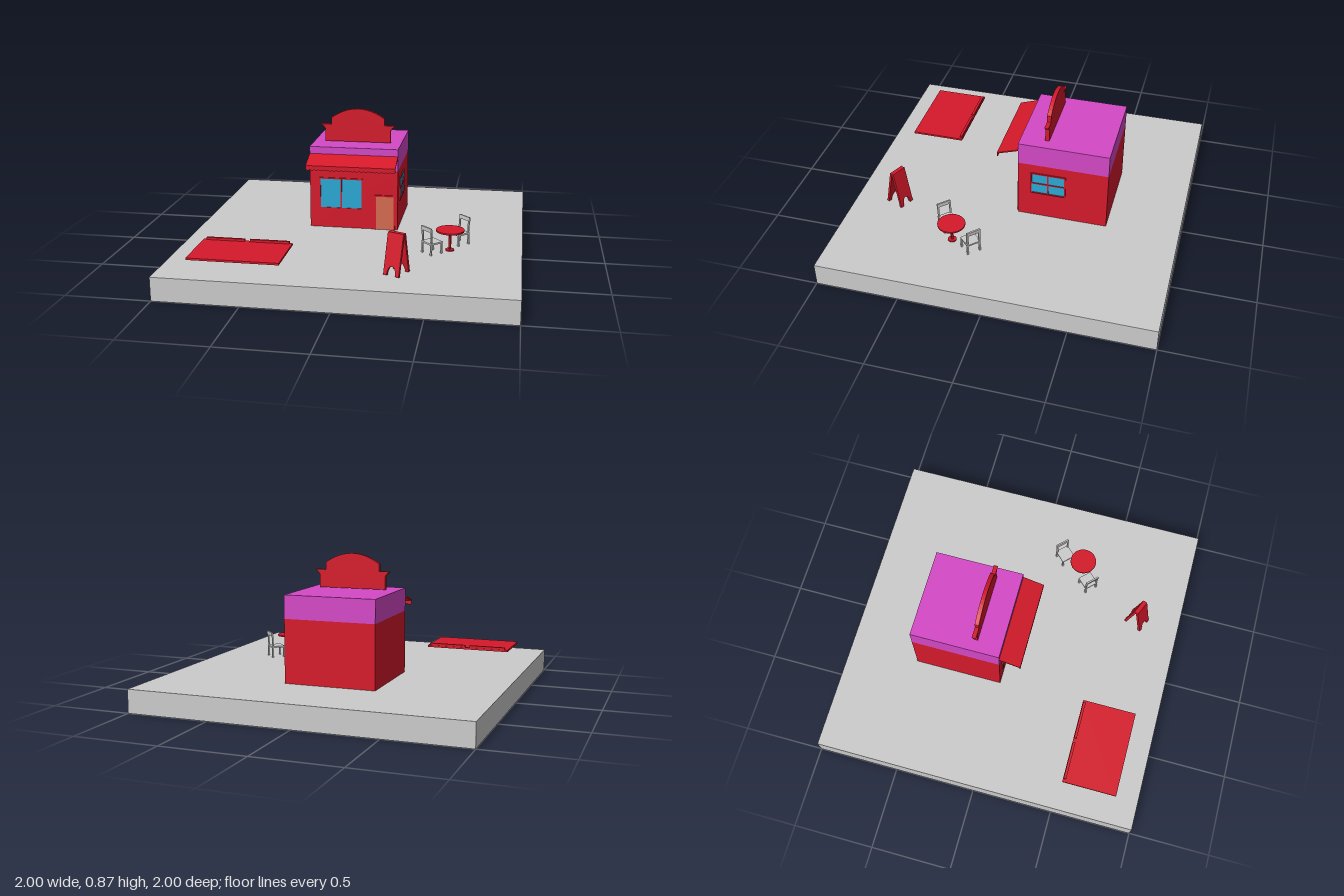
import * as THREE from 'three';

const mat = (color, side = THREE.FrontSide) => new THREE.MeshStandardMaterial({ color, side, flatShading: true });
const grey = mat(0xcccccc), red = mat(0xd5192a), purple = mat(0xd448c6);
const blue = mat(0x2ba9d5), wood = mat(0xd56b4f);

const GROUND = 0.14;

function add(parent, name, geometry, material) {
  const mesh = new THREE.Mesh(geometry, material);
  mesh.name = name;
  parent.add(mesh);
  return mesh;
}

// Box given by its lower and upper limits on each axis
function box(parent, name, material, [x0, x1], [y0, y1], [z0, z1]) {
  const mesh = add(parent, name, new THREE.BoxGeometry(x1 - x0, y1 - y0, z1 - z0), material);
  mesh.position.set((x0 + x1) / 2, (y0 + y1) / 2, (z0 + z1) / 2);
  return mesh;
}

function extrude(shape, depth) {
  return new THREE.ExtrudeGeometry(shape, { depth, bevelEnabled: false, curveSegments: 12 });
}

function group(parent, name, x, y, z, turn = 0) {
  const g = new THREE.Group();
  g.name = name;
  g.position.set(x, y, z);
  g.rotation.y = turn;
  parent.add(g);
  return g;
}

// Window facing local +z: frame with a grid of glass panes
function makeWindow(parent, name, w, h, cols, rows) {
  const g = group(parent, name, 0, 0, 0);
  const bar = 0.008;
  const shape = new THREE.Shape();
  shape.moveTo(-w / 2, -h / 2).lineTo(w / 2, -h / 2).lineTo(w / 2, h / 2).lineTo(-w / 2, h / 2);
  const pw = (w - bar * (cols + 1)) / cols, ph = (h - bar * (rows + 1)) / rows;
  for (let c = 0; c < cols; c++) {
    for (let r = 0; r < rows; r++) {
      const x = -w / 2 + bar + c * (pw + bar), y = -h / 2 + bar + r * (ph + bar);
      const hole = new THREE.Path();
      hole.moveTo(x, y).lineTo(x, y + ph).lineTo(x + pw, y + ph).lineTo(x + pw, y);
      shape.holes.push(hole);
    }
  }
  add(g, 'windowFrame', extrude(shape, 0.007), red);
  box(g, 'windowGlass', blue, [-w / 2 + 0.004, w / 2 - 0.004], [-h / 2 + 0.004, h / 2 - 0.004], [-0.002, 0.003]);
  return g;
}

function makeShop(root) {
  const shop = group(root, 'shop', 0, 0, 0);
  const xs = [-0.32, 0.23], zs = [-0.56, -0.012];
  box(shop, 'walls', red, xs, [GROUND, 0.517], zs);
  box(shop, 'roof', purple, xs, [0.517, 0.655], zs);

  makeWindow(shop, 'frontWindow', 0.275, 0.2, 2, 1).position.set(-0.123, 0.361, -0.012);
  const side = makeWindow(shop, 'sideWindow', 0.215, 0.15, 2, 2);
  side.position.set(0.23, 0.385, -0.197);
  side.rotation.y = Math.PI / 2;

  // Door and its surround
  const surround = new THREE.Shape();
  surround.moveTo(0.088, GROUND).lineTo(0.097, GROUND).lineTo(0.097, 0.353).lineTo(0.206, 0.353)
    .lineTo(0.206, GROUND).lineTo(0.215, GROUND).lineTo(0.215, 0.362).lineTo(0.088, 0.362);
  add(shop, 'doorFrame', extrude(surround, 0.008), red).position.z = -0.012;
  box(shop, 'door', wood, [0.096, 0.207], [GROUND, 0.354], [-0.014, -0.008]);

  // Sloping awning, section drawn in z and y
  const slope = new THREE.Shape();
  slope.moveTo(-0.012, 0.602).lineTo(0.115, 0.56).lineTo(0.118, 0.567).lineTo(-0.012, 0.611);
  const awning = add(shop, 'awning', extrude(slope, 0.55), red);
  awning.rotation.y = -Math.PI / 2;
  awning.position.x = 0.23;

  // Scalloped edge of the awning
  const teeth = 20, step = 0.55 / teeth;
  const valance = new THREE.Shape();
  valance.moveTo(xs[1], 0.567).lineTo(xs[0], 0.567).lineTo(xs[0], 0.543);
  for (let i = 0; i < teeth; i++) {
    const x = xs[0] + i * step;
    valance.quadraticCurveTo(x + step / 2, 0.529, x + step, 0.543);
  }
  add(shop, 'valance', new THREE.ExtrudeGeometry(valance, { depth: 0.005, bevelEnabled: false, curveSegments: 4 }), red)
    .position.z = 0.113;

  // Rooftop signboard with pointed ears and an arched top
  const cx = -0.043, sign = new THREE.Shape();
  sign.moveTo(-0.207, 0.66).lineTo(0.207, 0.66).lineTo(0.207, 0.738)
    .quadraticCurveTo(0.215, 0.755, 0.237, 0.767).lineTo(0.168, 0.767).lineTo(0.168, 0.81)
    .quadraticCurveTo(0, 0.928, -0.168, 0.81).lineTo(-0.168, 0.767).lineTo(-0.237, 0.767)
    .quadraticCurveTo(-0.215, 0.755, -0.207, 0.738);
  add(shop, 'roofSign', extrude(sign, 0.025), red).position.set(cx, 0, -0.185);
}

// Raised flat panel with two bars along its back edge
function makePanel(root) {
  const g = group(root, 'flatPanel', 0, 0, 0);
  box(g, 'panel', red, [-0.84, -0.31], [0.198, 0.21], [0.525, 0.86]);
  for (const [x0, x1] of [[-0.82, -0.59], [-0.56, -0.325]]) {
    box(g, 'panelBar', red, [x0, x1], [0.208, 0.224], [0.528, 0.544]);
  }
}

// Folding pavement board: two leaning leaves with a cut-out between the feet
function makeBoard(root) {
  const g = group(root, 'pavementBoard', 0.32, GROUND, 0.728, -0.41);
  const lean = 0.205, h = 0.238, w = 0.049;
  const leaf = new THREE.Shape();
  leaf.moveTo(-w, 0).lineTo(-0.028, 0).quadraticCurveTo(-0.024, 0.05, 0, 0.052)
    .quadraticCurveTo(0.024, 0.05, 0.028, 0).lineTo(w, 0).lineTo(w, h).lineTo(-w, h);
  for (const turn of [0, Math.PI]) {
    const half = group(g, 'boardLeaf', 0, 0, 0, turn);
    const mesh = add(half, 'leaf', extrude(leaf, 0.015), red);
    mesh.position.set(0, 0.003, 0.047);
    mesh.rotation.x = -lean;
  }
}

function makeTable(root) {
  const g = group(root, 'table', 0.58, GROUND, 0.3);
  const disc = (name, r, y0, y1, sides) => {
    add(g, name, new THREE.CylinderGeometry(r, r, y1 - y0, sides), red).position.y = (y0 + y1) / 2;
  };
  disc('tableTop', 0.083, 0.118, 0.127, 24);
  disc('tableStem', 0.008, 0.005, 0.12, 10);
  disc('tableFoot', 0.026, 0, 0.007, 16);
}

// Chair facing local +z
function makeChair(root, x, z, turn) {
  const g = group(root, 'chair', x, GROUND, z, turn);
  const w = 0.044, t = 0.01;
  box(g, 'seat', grey, [-w, w], [0.062, 0.072], [-w, w]);
  for (const s of [-1, 1]) {
    const xs = s < 0 ? [-w, -w + t] : [w - t, w];
    box(g, 'frontLeg', grey, xs, [0, 0.064], [w - t, w]);
    box(g, 'backLeg', grey, xs, [0, 0.064], [-w, -w + t]);
    // Back post leaning outward a little
    const post = box(g, 'backPost', grey, xs, [0.068, 0.152], [-w + 0.002, -w + t]);
    post.rotation.x = -0.06;
  }
  const rail = box(g, 'backRail', grey, [-w, w], [0.14, 0.164], [-w - 0.003, -w + 0.007]);
  rail.rotation.x = -0.06;
}

export function createModel() {
  const root = new THREE.Group();
  root.name = 'cornerShop';
  box(root, 'groundSlab', grey, [-1, 1], [0, GROUND], [-1, 1]);
  makeShop(root);
  makePanel(root);
  makeBoard(root);
  makeTable(root);
  makeChair(root, 0.625, 0.17, -Math.PI / 4);
  makeChair(root, 0.48, 0.36, Math.PI * 0.75);
  return root;
}
